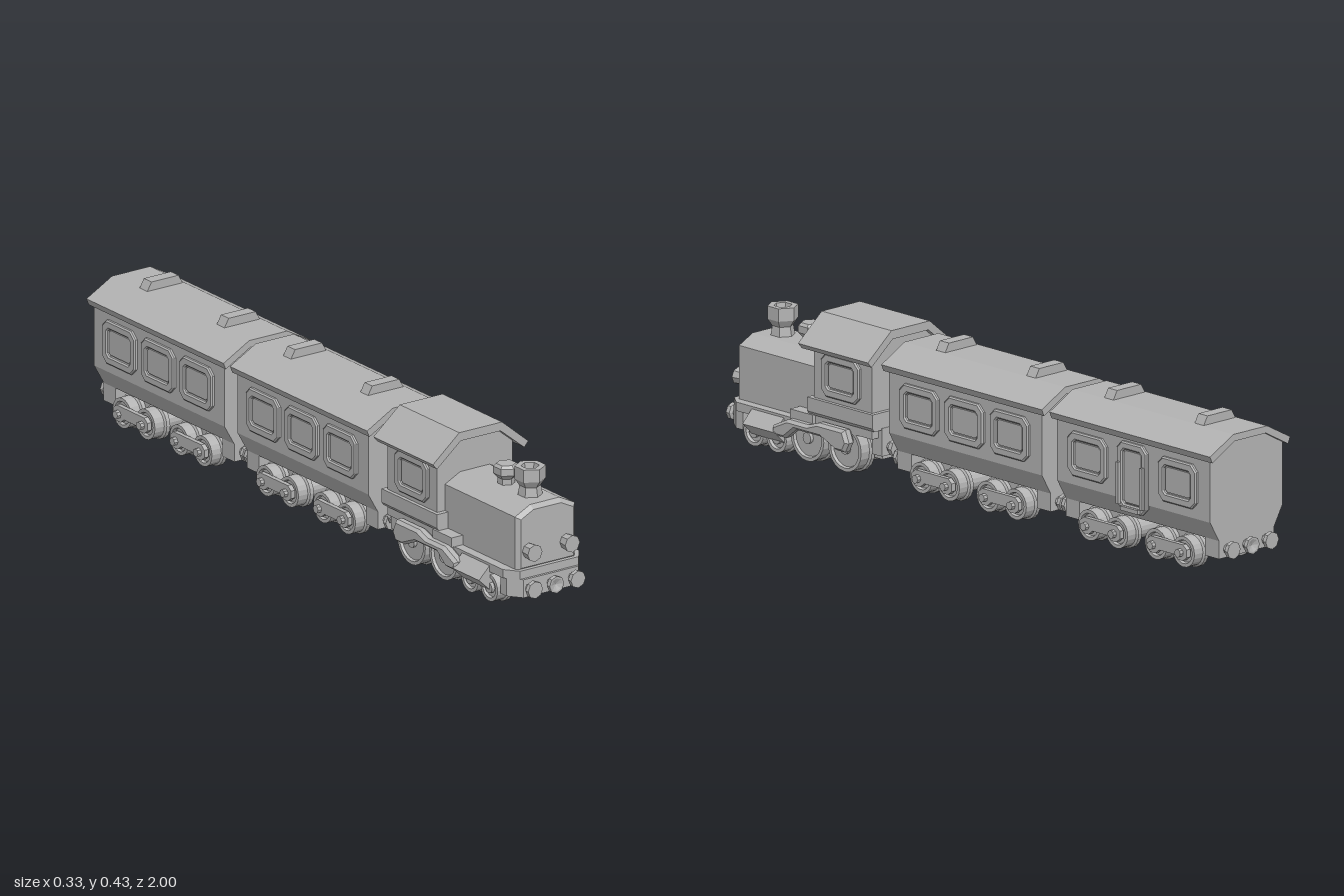
import * as THREE from 'three';

const grey = new THREE.MeshStandardMaterial({ color: 0xb3b3b3, flatShading: true });
grey.name = 'plain grey';

function add(parent, name, geo, x = 0, y = 0, z = 0) {
  const m = new THREE.Mesh(geo, grey);
  m.name = name;
  m.position.set(x, y, z);
  parent.add(m);
  return m;
}

// Box given by its low and high corners
function block(parent, name, [x0, y0, z0], [x1, y1, z1]) {
  return add(parent, name, new THREE.BoxGeometry(x1 - x0, y1 - y0, z1 - z0),
    (x0 + x1) / 2, (y0 + y1) / 2, (z0 + z1) / 2);
}

const shapeOf = pts => new THREE.Shape(pts.map(p => new THREE.Vector2(...p)));

// Cross-section in x and y, run along z from z0 to z1
function prism(parent, name, pts, z0, z1) {
  const geo = new THREE.ExtrudeGeometry(shapeOf(pts), { depth: z1 - z0, bevelEnabled: false });
  return add(parent, name, geo, 0, 0, z0);
}

// Completes a half profile (x > 0, listed bottom to top) with its mirror
const mirrored = half => [...half, ...half.map(([x, y]) => [-x, y]).reverse()];

// Roof slab: flat top with sloping sides
function roof(parent, name, outer, inner, z0, z1) {
  const line = ([[ex, ey], [tx, ty]]) => [[ex, ey], [tx, ty], [-tx, ty], [-ex, ey]];
  return prism(parent, name, [...line(outer), ...line(inner).reverse()], z0, z1);
}

// Rectangle with cut corners
const cutRect = (w, h, c) => [[-w + c, -h], [w - c, -h], [w, -h + c], [w, h - c],
  [w - c, h], [-w + c, h], [-w, h - c], [-w, -h + c]];

// Raised surround and inner panel, on the wall at x = side * wall
function opening(parent, name, side, wall, y, z, w, h, border) {
  const g = new THREE.Group();
  g.name = name;
  const ring = shapeOf(cutRect(w, h, 0.02));
  ring.holes.push(new THREE.Path(cutRect(w - border, h - border, 0.008).reverse().map(p => new THREE.Vector2(...p))));
  add(g, 'surround', new THREE.ExtrudeGeometry(ring, {
    depth: 0.006, bevelThickness: 0.004, bevelSize: 0.004, bevelOffset: -0.004, bevelSegments: 1,
  }));
  add(g, 'panel', new THREE.ExtrudeGeometry(shapeOf(cutRect(w - border - 0.004, h - border - 0.004, 0.006)),
    { depth: 0.004, bevelEnabled: false }));
  g.position.set(side * wall, y, z);
  g.rotation.y = side * Math.PI / 2;
  parent.add(g);
}

// Round part lying along x
function roller(parent, name, r, x0, x1, y, z, n = 16) {
  const geo = new THREE.CylinderGeometry(r, r, x1 - x0, n).rotateZ(Math.PI / 2);
  return add(parent, name, geo, (x0 + x1) / 2, y, z);
}

// Two flanged wheels with dished faces, joined by a thick axle
function wheelset(parent, r, z, axle) {
  const g = new THREE.Group();
  g.name = 'wheelset';
  g.position.set(0, r, z);
  parent.add(g);
  roller(g, 'axle', axle, -0.09, 0.09, 0, 0);
  const profile = [[0, 0.08], [r, 0.08], [r, 0.092], [r - 0.006, 0.096], [r - 0.006, 0.128],
    [r - 0.016, 0.128], [r - 0.019, 0.12], [0.016, 0.12], [0.016, 0.13], [0, 0.13]];
  for (const side of [-1, 1]) {
    const geo = new THREE.LatheGeometry(profile.map(p => new THREE.Vector2(...p)), 20);
    add(g, 'wheel', geo).rotation.z = -side * Math.PI / 2;
  }
}

// Three buffers across the end; dir is the way they point
function buffers(parent, y, z, dir, length) {
  for (const x of [-0.073, 0, 0.073]) {
    const geo = new THREE.LatheGeometry([[0, -0.01], [0.015, -0.01], [0.015, length * 0.4], [0.025, length * 0.55],
      [0.025, length], [x ? 0 : 0.019, length], [0, x ? length : length - 0.008]]
      .map(p => new THREE.Vector2(...p)), 8);
    add(parent, x ? 'buffer' : 'coupling', geo, x, y, z).rotation.x = dir * Math.PI / 2;
  }
}

// Four-wheel truck with side frames
function truck(parent, z) {
  const g = new THREE.Group();
  g.name = 'truck';
  g.position.z = z;
  parent.add(g);
  for (const dz of [-0.055, 0.055]) wheelset(g, 0.05, dz, 0.03);
  block(g, 'bolster', [-0.08, 0.06, -0.03], [0.08, 0.11, 0.03]);
  for (const side of [-1, 1]) {
    const pts = [[-0.08, 0.04], [-0.065, 0.028], [-0.045, 0.028], [-0.03, 0.04], [0.03, 0.04], [0.045, 0.028],
      [0.065, 0.028], [0.08, 0.04], [0.08, 0.062], [0.065, 0.074], [-0.065, 0.074], [-0.08, 0.062]];
    const geo = new THREE.ExtrudeGeometry(shapeOf(pts), { depth: 0.014, bevelEnabled: false });
    add(g, 'sideFrame', geo, side * 0.126).rotation.y = side * Math.PI / 2;
    for (const dz of [-0.055, 0.055]) roller(g, 'axleCap', 0.012, side * 0.145 - 0.007, side * 0.145 + 0.007, 0.05, dz, 8);
  }
}

function carriage(parent, z, hasDoor) {
  const g = new THREE.Group();
  g.name = hasDoor ? 'rearCarriage' : 'middleCarriage';
  g.position.z = z;
  parent.add(g);
  prism(g, 'body', mirrored([[0.105, 0.1], [0.138, 0.158], [0.138, 0.345], [0.065, 0.386]]), -0.305, 0.305);
  roof(g, 'roof', [[0.153, 0.352], [0.065, 0.4]], [[0.145, 0.333], [0.06, 0.38]], -0.32, 0.32);
  for (const dz of [-0.18, 0.18]) {
    prism(g, 'roofVent', [[-0.066, 0.39], [0.066, 0.39], [0.046, 0.425], [-0.046, 0.425]], dz - 0.018, dz + 0.018);
  }
  for (const side of [-1, 1]) for (const dz of [-0.18, 0, 0.18]) {
    if (hasDoor && side > 0 && dz === 0) continue;
    opening(g, 'window', side, 0.138, 0.249, dz, 0.077, 0.064, 0.024);
  }
  if (hasDoor) {
    opening(g, 'door', 1, 0.138, 0.225, 0, 0.06, 0.1, 0.022);
    for (const dz of [-0.047, 0.047]) {
      block(g, 'handrail', [0.148, 0.145, dz - 0.005], [0.157, 0.265, dz + 0.005]);
      for (const y of [0.145, 0.255]) block(g, 'railBracket', [0.136, y, dz - 0.005], [0.15, y + 0.01, dz + 0.005]);
    }
    block(g, 'doorStep', [0.12, 0.13, -0.035], [0.157, 0.142, 0.035]);
  }
  for (const dz of [-0.133, 0.133]) truck(g, dz);
  for (const dir of [-1, 1]) {
    const a = dir * 0.25, b = dir * 0.305;
    block(g, 'endBeam', [-0.105, 0.048, Math.min(a, b)], [0.105, 0.102, Math.max(a, b)]);
    buffers(g, 0.072, b, dir, 0.027);
  }
}

function locomotive(parent) {
  const g = new THREE.Group();
  g.name = 'locomotive';
  parent.add(g);

  // Boiler with a bevelled front edge
  const boilerShape = shapeOf(mirrored([[0.102, 0.11], [0.102, 0.272], [0.05, 0.298]]));
  add(g, 'boiler', new THREE.ExtrudeGeometry(boilerShape, {
    depth: 0.33, bevelThickness: 0.012, bevelSize: 0.012, bevelOffset: -0.012, bevelSegments: 1,
  }), 0, 0, 0.613);
  for (const x of [-0.064, 0.064]) {
    const lamp = new THREE.CylinderGeometry(0.025, 0.021, 0.035, 8).rotateX(Math.PI / 2);
    add(g, 'headlamp', lamp, x, 0.17, 0.968);
  }

  // Hollow chimney and steam dome
  const stack = (name, pts, z) => add(g, name, new THREE.LatheGeometry(pts.map(p => new THREE.Vector2(...p)), 6), 0, 0, z);
  stack('chimney', [[0.036, 0.29], [0.03, 0.325], [0.044, 0.345], [0.044, 0.382], [0.026, 0.382], [0.02, 0.345], [0, 0.345]], 0.875);
  stack('steamDome', [[0.024, 0.29], [0.024, 0.315], [0.036, 0.328], [0.036, 0.348], [0.028, 0.356], [0, 0.356]], 0.763);

  // Footplate and front beam with cut corners
  const plate = (name, w, y0, y1, z0, z1) => {
    const pts = [[-w, -z0], [-w, -z1 + 0.04], [-w + 0.03, -z1], [w - 0.03, -z1], [w, -z1 + 0.04], [w, -z0]].reverse();
    const geo = new THREE.ExtrudeGeometry(shapeOf(pts), { depth: y1 - y0, bevelEnabled: false });
    add(g, name, geo, 0, y0).rotation.x = -Math.PI / 2;
  };
  plate('footplate', 0.13, 0.094, 0.119, 0.6, 0.965);
  plate('frontBeam', 0.124, 0.042, 0.095, 0.905, 0.973);
  block(g, 'underframe', [-0.075, 0.05, 0.4], [0.075, 0.11, 0.92]);
  block(g, 'rearBeam', [-0.105, 0.07, 0.37], [0.105, 0.15, 0.41]);
  buffers(g, 0.068, 0.97, 1, 0.03);
  buffers(g, 0.093, 0.372, -1, 0.03);

  // Cab
  prism(g, 'cab', mirrored([[0.129, 0.12], [0.129, 0.352], [0.068, 0.402]]), 0.385, 0.617);
  prism(g, 'cabSkirt', mirrored([[0.132, 0.145], [0.14, 0.155], [0.14, 0.195]]), 0.372, 0.632);
  roof(g, 'cabRoof', [[0.163, 0.35], [0.073, 0.425]], [[0.149, 0.334], [0.068, 0.4]], 0.366, 0.644);
  for (const side of [-1, 1]) opening(g, 'cabWindow', side, 0.129, 0.271, 0.505, 0.077, 0.062, 0.024);

  // Wheels
  for (const z of [0.858, 0.767]) wheelset(g, 0.046, z, 0.026);
  for (const z of [0.644, 0.495]) wheelset(g, 0.072, z, 0.05);

  // Cylinders, drive rods and wheel guards on both sides
  for (const side of [-1, 1]) {
    const pts = [[0.1, 0.04], [0.128, 0.04], [0.166, 0.076], [0.128, 0.114], [0.1, 0.114]];
    prism(g, 'steamCylinder', side > 0 ? pts : pts.map(([x, y]) => [-x, y]).reverse(), 0.735, 0.863);
    const rodPts = [[0.75, 0.066], [0.7, 0.066], [0.66, 0.098], [0.56, 0.098], [0.5, 0.072], [0.465, 0.072],
      [0.45, 0.1], [0.465, 0.136], [0.57, 0.136], [0.61, 0.122], [0.69, 0.122], [0.75, 0.094]];
    const rod = new THREE.ExtrudeGeometry(shapeOf(rodPts.map(([z, y]) => [-side * z, y])), {
      depth: 0.016, bevelThickness: 0.01, bevelSize: 0.008, bevelOffset: -0.008, bevelSegments: 1,
    });
    add(g, 'driveRod', rod, side * 0.138).rotation.y = side * Math.PI / 2;
    const inner = side * 0.1, outer = side * 0.14;
    block(g, 'wheelGuard', [Math.min(inner, outer), 0.119, 0.61], [Math.max(inner, outer), 0.147, 0.7]);
  }
}

export function createModel() {
  const train = new THREE.Group();
  train.name = 'train';
  locomotive(train);
  carriage(train, 0.003, false);
  carriage(train, -0.667, true);
  return train;
}
